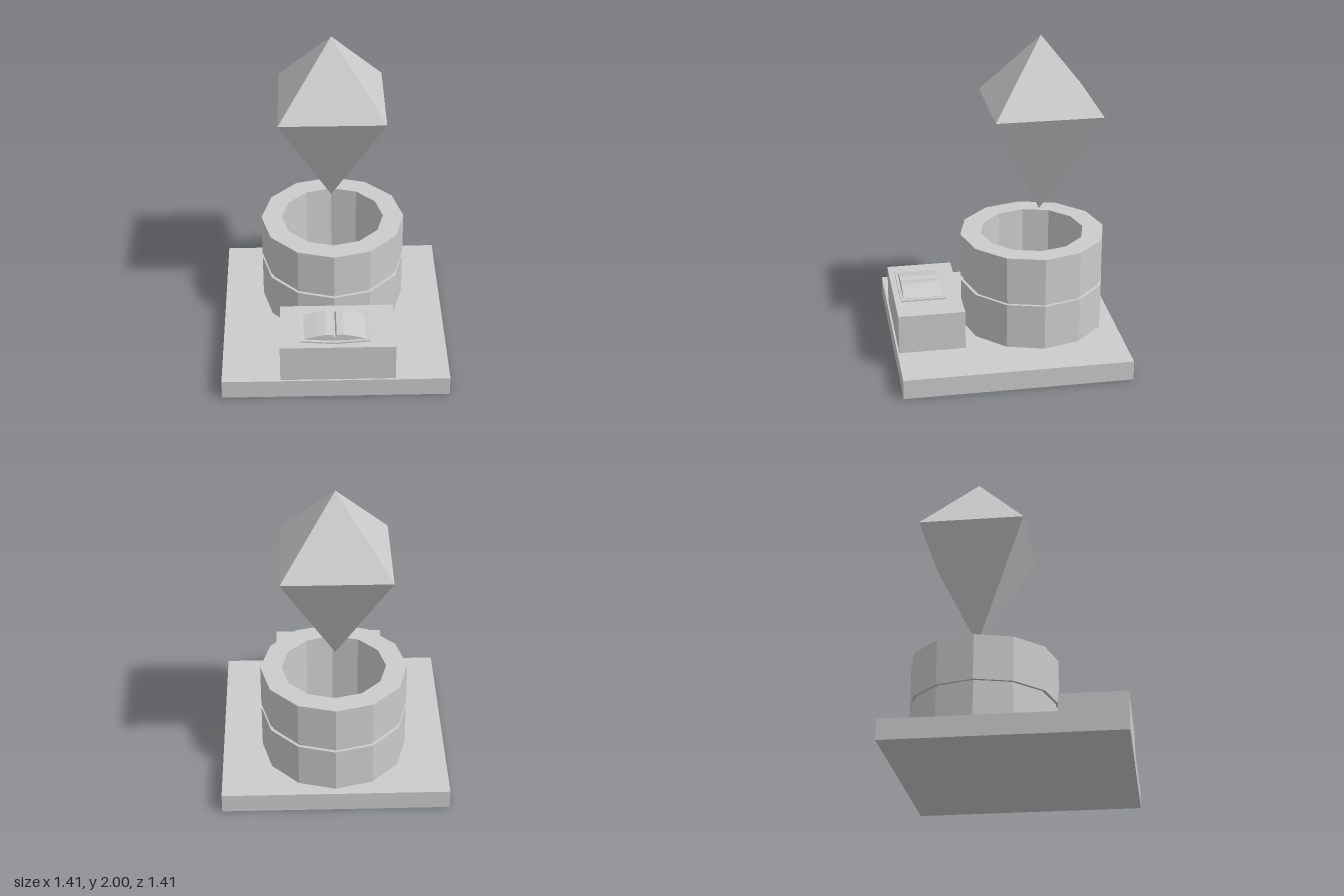
import * as THREE from 'three';

const material = new THREE.MeshStandardMaterial({ color: 0xcccccc, flatShading: true, side: THREE.DoubleSide });

export function createModel() {
  const group = new THREE.Group();

  function add(name, geometry, x, y, z) {
    const mesh = new THREE.Mesh(geometry, material);
    mesh.name = name;
    mesh.position.set(x, y, z);
    group.add(mesh);
    return mesh;
  }

  // Profile for one half of the book, mirrored about the spine and extruded front to back
  function mirroredExtrusion(upper, lower, depth) {
    const mirror = (pts) => pts.map(([x, y]) => [-x, y]);
    const points = [...upper, ...mirror(upper).reverse(), ...mirror(lower), ...[...lower].reverse()];
    const shape = new THREE.Shape(points.map(([x, y]) => new THREE.Vector2(x, y)));
    return new THREE.ExtrudeGeometry(shape, { depth, bevelEnabled: false });
  }

  // Square floor slab
  add('base', new THREE.BoxGeometry(1.41, 0.125, 1.41), 0, 0.0625, 0);

  // Twelve-sided hollow well with a narrow groove round the middle
  const wellProfile = [
    [0.325, 0.125], [0.457, 0.125], [0.457, 0.415], [0.438, 0.415],
    [0.438, 0.447], [0.457, 0.447], [0.457, 0.73], [0.325, 0.73], [0.325, 0.125],
  ].map(([r, y]) => new THREE.Vector2(r, y));
  add('well', new THREE.LatheGeometry(wellProfile, 12), 0, 0, -0.2);

  // Floating crystal: two four-sided pyramids joined at a square girdle
  const girdle = 0.327 * Math.SQRT2;
  const crystalTop = new THREE.ConeGeometry(girdle, 0.43, 4, 1, true).rotateY(Math.PI / 4);
  const crystalBottom = new THREE.ConeGeometry(girdle, 0.7, 4, 1, true).rotateY(Math.PI / 4).rotateX(Math.PI);
  add('crystalTop', crystalTop, -0.007, 1.785, -0.245);
  add('crystalBottom', crystalBottom, -0.007, 1.22, -0.245);

  // Block in front of the well that carries the open book
  add('pedestal', new THREE.BoxGeometry(0.71, 0.25, 0.413), 0.012, 0.25, 0.487);

  // Shallow V-shaped cover and the pages bulging above it
  add('bookCover', mirroredExtrusion(
    [[0.212, 0.4], [0.03, 0.387]],
    [[0.212, 0.39], [0.03, 0.376]], 0.275), -0.007, 0, 0.383);
  add('bookPages', mirroredExtrusion(
    [[0.188, 0.4], [0.12, 0.419], [0.055, 0.432], [0.012, 0.429], [0.004, 0.412]],
    [[0.188, 0.396], [0.03, 0.385]], 0.24), -0.007, 0, 0.4);

  return group;
}
